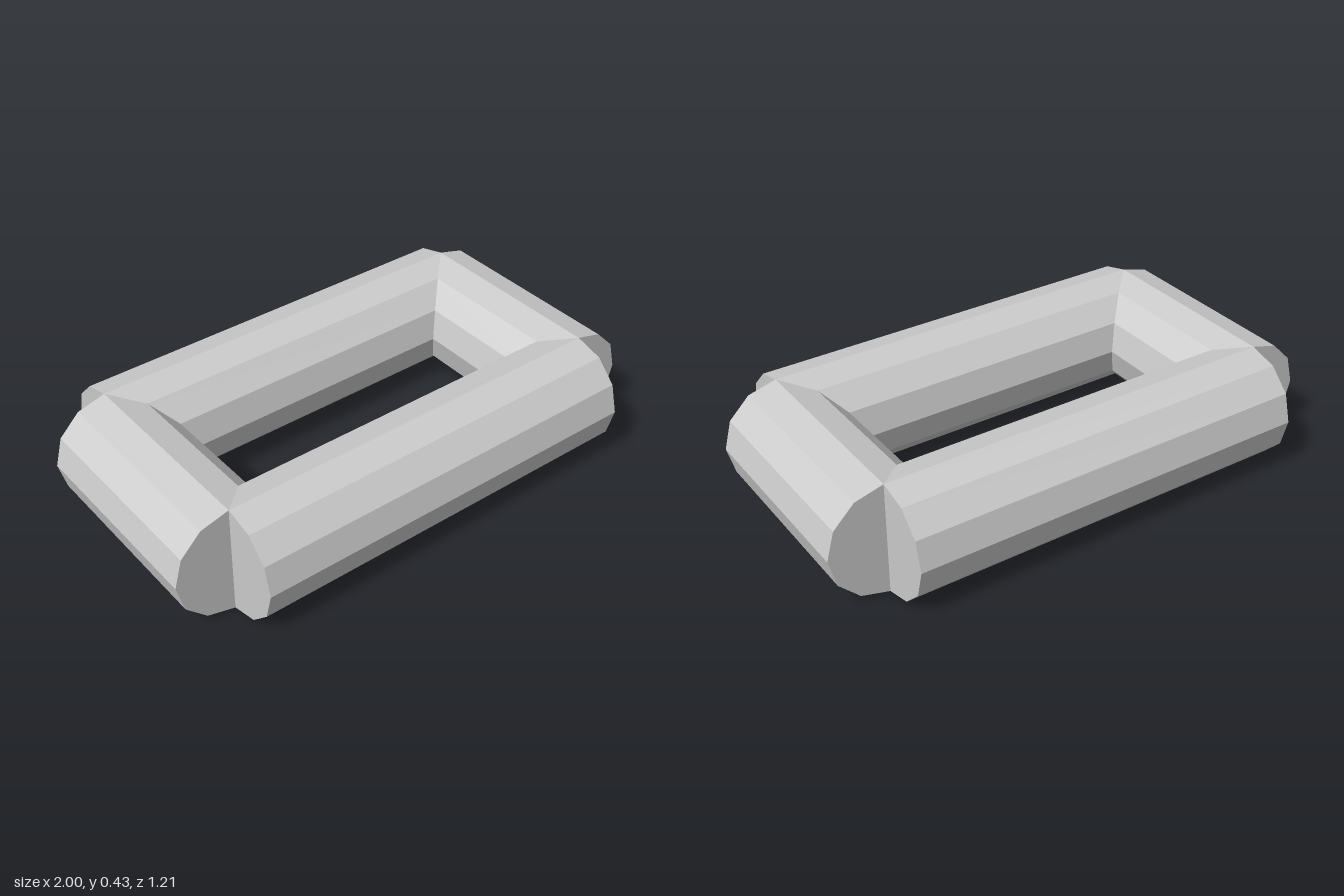
import * as THREE from 'three';

const RADIUS = 0.217;
const HALF_X = 0.783; // axis offset of the short bars
const HALF_Z = 0.39; // axis offset of the long bars

export function createModel() {
  const group = new THREE.Group();
  group.name = 'rectangularFrame';
  const material = new THREE.MeshStandardMaterial({ color: 0xcccccc, flatShading: true });

  // Twelve-sided bars with flat ends, overlapping at the corners
  const longBar = new THREE.CylinderGeometry(RADIUS, RADIUS, 2 * HALF_X, 12).rotateZ(Math.PI / 2);
  const shortBar = new THREE.CylinderGeometry(RADIUS, RADIUS, 2 * HALF_Z, 12).rotateX(Math.PI / 2);

  const addBar = (name, geometry, x, z) => {
    const bar = new THREE.Mesh(geometry, material);
    bar.name = name;
    bar.position.set(x, RADIUS, z);
    group.add(bar);
  };

  addBar('frontBar', longBar, 0, HALF_Z);
  addBar('backBar', longBar, 0, -HALF_Z);
  addBar('leftBar', shortBar, HALF_X, 0);
  addBar('rightBar', shortBar, -HALF_X, 0);
  return group;
}
